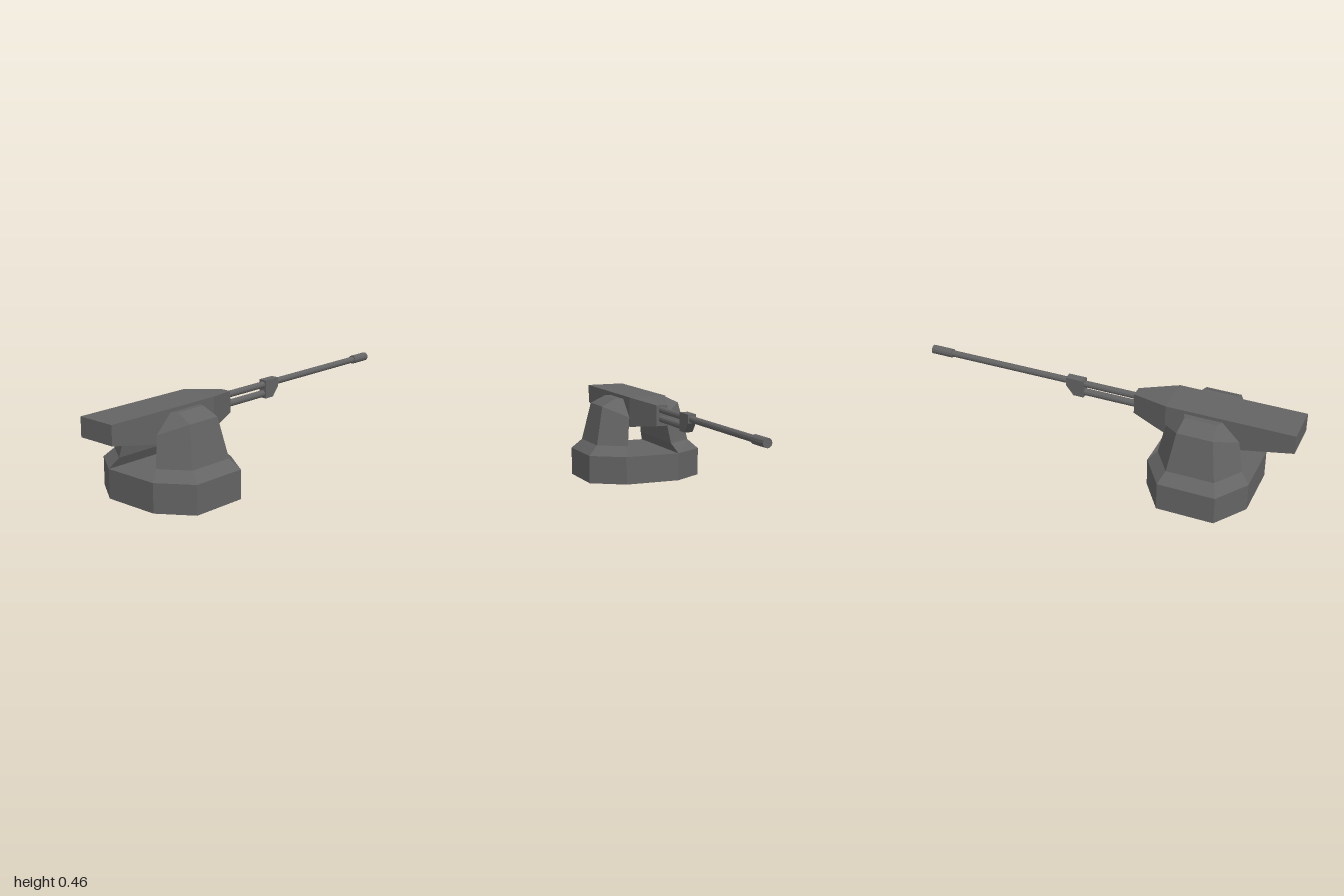
import * as THREE from 'three';

const material = new THREE.MeshStandardMaterial({ color: 0x646464, flatShading: true });
const BASE_Z = 0.5425; // centre of the base and arms

function addMesh(group, name, geometry) {
  const mesh = new THREE.Mesh(geometry, material);
  mesh.name = name;
  group.add(mesh);
  return mesh;
}

// Faceted solid through a stack of rings, each counter-clockwise seen from the last ring's end
function loft(rings) {
  const pos = [];
  const tri = (a, b, c) => pos.push(...a, ...b, ...c);
  const n = rings[0].length;
  for (let r = 0; r < rings.length - 1; r++) {
    const a = rings[r], b = rings[r + 1];
    for (let i = 0; i < n; i++) {
      const j = (i + 1) % n;
      tri(a[i], a[j], b[j]);
      tri(a[i], b[j], b[i]);
    }
  }
  const first = rings[0], last = rings[rings.length - 1];
  for (let i = 1; i < n - 1; i++) {
    tri(first[0], first[i + 1], first[i]);
    tri(last[0], last[i], last[i + 1]);
  }
  const geometry = new THREE.BufferGeometry();
  geometry.setAttribute('position', new THREE.Float32BufferAttribute(pos, 3));
  geometry.computeVertexNormals();
  return geometry;
}

// Cylinder lying along z between two positions
function rod(group, name, radius, y, zFrom, zTo) {
  const geometry = new THREE.CylinderGeometry(radius, radius, Math.abs(zFrom - zTo), 12);
  geometry.rotateX(Math.PI / 2);
  addMesh(group, name, geometry).position.set(0, y, (zFrom + zTo) / 2);
}

export function createModel() {
  const model = new THREE.Group();
  model.name = 'gunTurret';

  // Eight-sided base
  const outline = [
    [0.15, 0.2625], [0.318, 0.1475], [0.318, -0.1475], [0.15, -0.2625],
    [-0.15, -0.2625], [-0.318, -0.1475], [-0.318, 0.1475], [-0.15, 0.2625],
  ];
  addMesh(model, 'base', loft([0, 0.148].map((y) => outline.map(([x, z]) => [x, y, BASE_Z + z]))));

  // Support arms: per level, outer then inner edge as [x, y, half depth], keeping each face flat
  const levels = [
    [[0.318, 0.148, 0.1475], [0.15, 0.148, 0.2625]],
    [[0.265, 0.198, 0.1225], [0.125, 0.198, 0.2175]],
    [[0.222, 0.401, 0.0915], [0.104, 0.348, 0.1875]],
    [[0.14, 0.441, 0.0815], [0.104, 0.438, 0.0977]],
  ];
  for (const side of [1, -1]) {
    const rings = levels.map(([o, i]) => {
      const ring = [
        [side * o[0], o[1], BASE_Z + o[2]], [side * o[0], o[1], BASE_Z - o[2]],
        [side * i[0], i[1], BASE_Z - i[2]], [side * i[0], i[1], BASE_Z + i[2]],
      ];
      return side > 0 ? ring : ring.reverse();
    });
    addMesh(model, side > 0 ? 'leftArm' : 'rightArm', loft(rings));
  }

  // Gun housing: sections [z, half width, bottom, top]
  const sections = [
    [1, 0.104, 0.358, 0.456],
    [0.7, 0.104, 0.298, 0.456],
    [0.35, 0.104, 0.298, 0.456],
    [0.157, 0.031, 0.323, 0.433],
  ];
  addMesh(model, 'gunHousing', loft(sections.map(([z, w, b, t]) => [
    [-w, b, z], [-w, t, z], [w, t, z], [w, b, z],
  ])));

  // Barrel, muzzle and the tube beneath
  rod(model, 'barrel', 0.017, 0.407, 0.18, -0.99);
  rod(model, 'muzzle', 0.023, 0.407, -0.884, -1);
  rod(model, 'lowerTube', 0.018, 0.36, 0.18, -0.14);

  // Collar joining the tube to the barrel
  const profile = [[-0.122, 0.337], [-0.122, 0.432], [-0.219, 0.432], [-0.219, 0.388], [-0.178, 0.337]];
  const collar = new THREE.ExtrudeGeometry(
    new THREE.Shape(profile.map(([z, y]) => new THREE.Vector2(z, y))),
    { depth: 0.044, bevelEnabled: false },
  );
  collar.translate(0, 0, -0.022);
  collar.rotateY(-Math.PI / 2);
  addMesh(model, 'collar', collar);

  return model;
}
